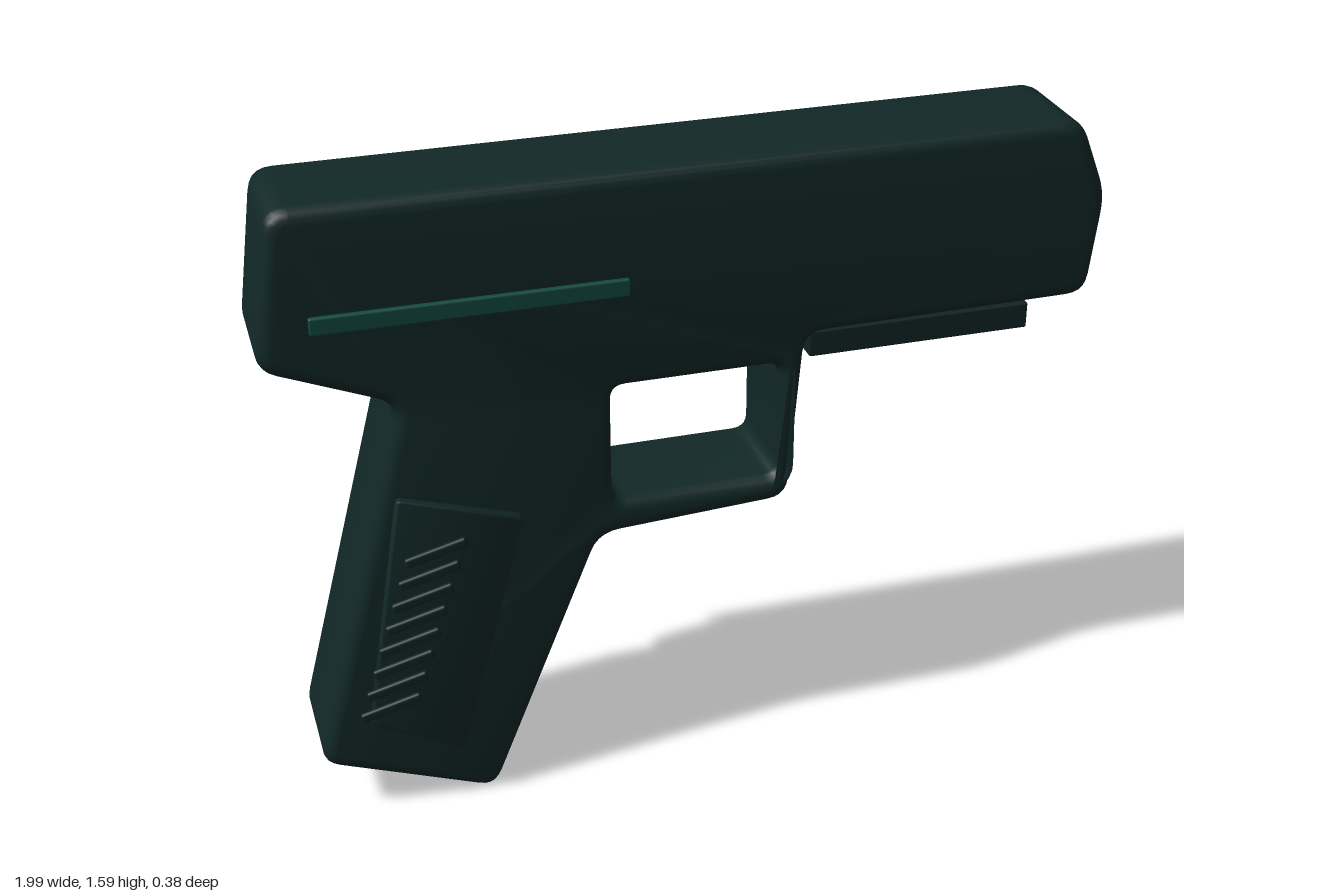
import * as THREE from 'three';
import { toCreasedNormals } from 'three/addons/utils/BufferGeometryUtils.js';
import { RoundedBoxGeometry } from 'three/addons/geometries/RoundedBoxGeometry.js';

const material = (name, color) => {
  const m = new THREE.MeshStandardMaterial({ color });
  m.name = name;
  return m;
};

// Closed outline through the points, each corner rounded over distance r
function roundedOutline(target, points, r) {
  const v = points.map(([x, y]) => new THREE.Vector2(x, y));
  const toward = (a, b) => a.clone().add(b.clone().sub(a).setLength(r));
  v.forEach((p, i) => {
    const start = toward(p, v[(i + v.length - 1) % v.length]);
    const end = toward(p, v[(i + 1) % v.length]);
    if (i === 0) target.moveTo(start.x, start.y);
    else target.lineTo(start.x, start.y);
    target.quadraticCurveTo(p.x, p.y, end.x, end.y);
  });
  target.closePath();
  return target;
}

// Bevelled slab whose outer limits are the outline and z0..z1
function slab(shape, z0, z1, bevel) {
  const geo = new THREE.ExtrudeGeometry(shape, {
    depth: z1 - z0 - 2 * bevel, bevelEnabled: true, bevelThickness: bevel,
    bevelSize: bevel, bevelOffset: -bevel, bevelSegments: 4, curveSegments: 5,
  });
  geo.translate(0, 0, z0 + bevel);
  return toCreasedNormals(geo, 0.6);
}

export function createModel() {
  const group = new THREE.Group();
  const dark = material('dark green body', 0x112827);
  const deep = material('deep green trim', 0x0f2322);
  const teal = material('teal stripe', 0x11493f);

  const add = (name, geo, mat, x = 0, y = 0, z = 0, parent = group) => {
    const mesh = new THREE.Mesh(geo, mat);
    mesh.name = name;
    mesh.position.set(x, y, z);
    parent.add(mesh);
    return mesh;
  };

  // One-piece body with guard opening
  const outline = roundedOutline(new THREE.Shape(), [
    [-1.005, 1.225], [-0.7, 1.1], [-0.95, 0.155], [-0.525, -0.01],
    [-0.245, 0.68], [0.225, 0.705], [0.26, 1.14], [0.972, 1.147],
    [1.0, 1.4], [0.922, 1.595], [-0.952, 1.595],
  ], 0.05);
  outline.holes.push(roundedOutline(new THREE.Path(), [
    [-0.21, 0.77], [-0.21, 1.07], [0.2, 1.07], [0.2, 0.77],
  ], 0.035));
  add('body', slab(outline, -0.145, 0.145, 0.032), dark);

  // Rail hanging below the front
  add('underRail', new RoundedBoxGeometry(0.555, 0.065, 0.22, 2, 0.005), deep, 0.555, 1.098, 0);

  // Grip panels, ridges and stripes on both sides
  const panelShape = roundedOutline(new THREE.Shape(), [
    [-0.725, 0.877], [-0.825, 0.272], [-0.603, 0.153], [-0.433, 0.785],
  ], 0.015);
  const panelGeo = slab(panelShape, -0.0125, 0.0125, 0.008);
  const ridgeGeo = new RoundedBoxGeometry(0.15, 0.025, 0.016, 2, 0.007);
  const stripeGeo = new RoundedBoxGeometry(0.71, 0.042, 0.015, 2, 0.005);
  for (const side of [1, -1]) {
    const detail = new THREE.Group();
    detail.name = side > 0 ? 'frontSideDetails' : 'backSideDetails';
    group.add(detail);
    add('gripPanel', panelGeo, dark, 0, 0, side * 0.158, detail);
    for (let i = 0; i < 8; i++) {
      const t = i / 7;
      const ridge = add('gripRidge', ridgeGeo, deep, -0.645 - 0.13 * t, 0.735 - 0.41 * t, side * 0.184, detail);
      ridge.rotation.z = 0.25;
    }
    add('sideStripe', stripeGeo, teal, -0.53, 1.34, side * 0.177, detail);
  }
  return group;
}
